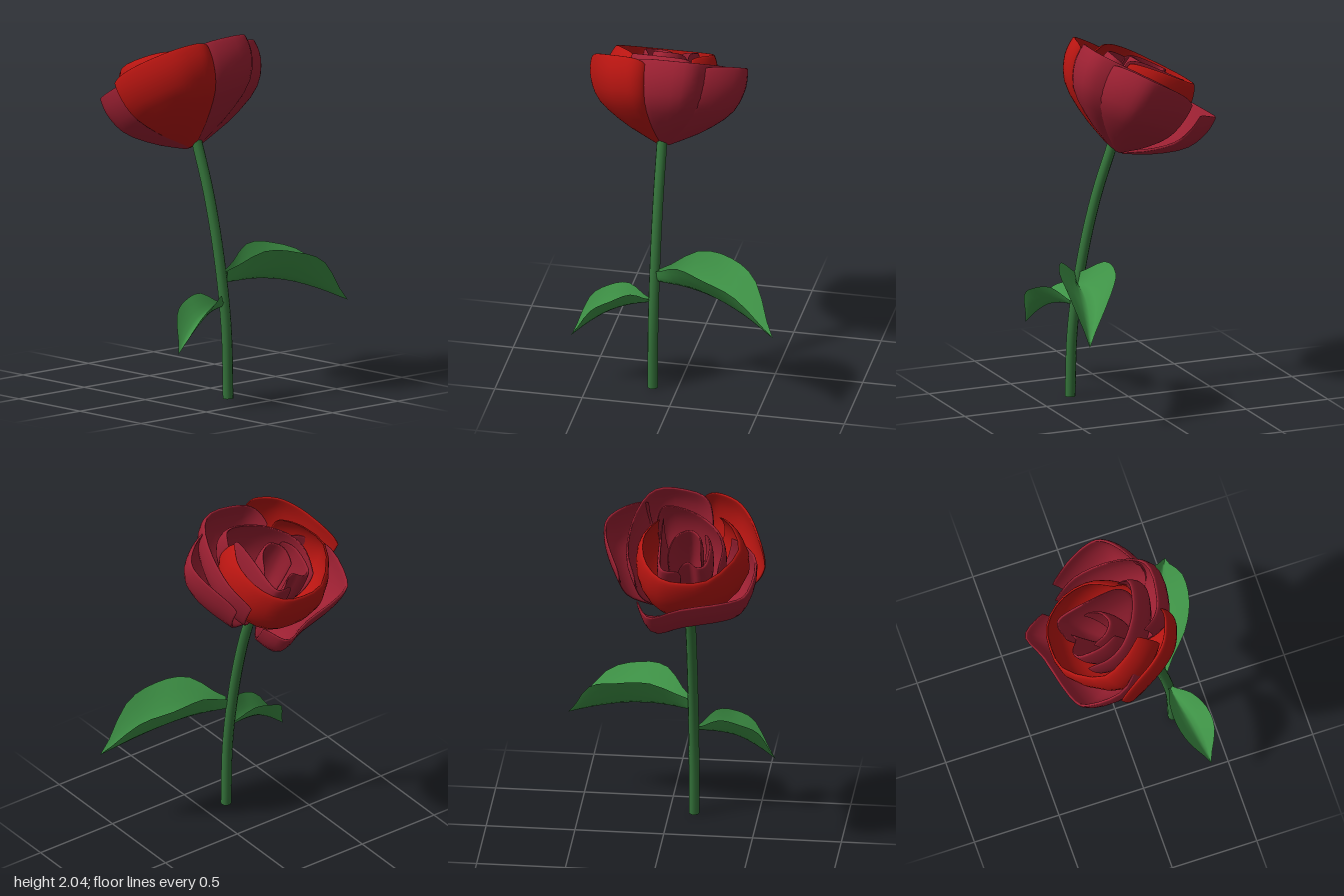
import * as THREE from 'three';

const RED = 0xb81511, CRIMSON = 0x9c2032, STEM = 0x34733a, LEAF = 0x3f9447;
const TILT = 0.5, STEM_X = -0.14;
const v3 = (x, y, z) => new THREE.Vector3(x, y, z);
const spline = pts => new THREE.SplineCurve(pts.map(p => new THREE.Vector2(...p)));

function addMesh(parent, name, geometry, color, side = THREE.FrontSide) {
  const mesh = new THREE.Mesh(geometry, new THREE.MeshStandardMaterial({ color, side, roughness: 0.7 }));
  mesh.name = name;
  parent.add(mesh);
  return mesh;
}

// Smooth surface from a grid of points: point(i, j), i = row, j = column
function gridGeometry(rows, cols, point) {
  const pos = [], index = [];
  for (let i = 0; i <= rows; i++) {
    for (let j = 0; j <= cols; j++) {
      pos.push(...point(i, j).toArray());
      if (i === rows || j === cols) continue;
      const a = i * (cols + 1) + j, d = a + cols + 1;
      index.push(a, a + 1, d + 1, a, d + 1, d);
    }
  }
  const g = new THREE.BufferGeometry();
  g.setAttribute('position', new THREE.Float32BufferAttribute(pos, 3));
  g.setIndex(index);
  g.computeVertexNormals();
  return g;
}

// Cup profile (radius, height) shared by all petals
const cup = spline([[0.03, 0], [0.2, 0.085], [0.35, 0.2], [0.415, 0.33], [0.43, 0.45]]);

// Thick petal hung from its rim, which is given in plan (x, z), anticlockwise from above:
// up the outside, over the rounded rim, down the inside
function petalGeometry(h, bulge, rimPoints) {
  const N = 14, cols = 28, thick = 0.013, rim = spline(rimPoints);
  return gridGeometry(2 * N, cols, (i, j) => {
    const a = Math.PI * i / (2 * N), v = Math.min(1, Math.sin(a)), c = Math.cos(a);
    const b = Math.PI * (j / cols - 0.5), u = Math.sin(b);
    const tMax = 1 - 0.1 * u ** 4, t = v * tMax;
    const p = cup.getPoint(t), tan = cup.getTangent(t), top = cup.getPoint(tMax);
    // rim point in the tilted frame of the flower
    const q = rim.getPoint((u + 1) / 2), rimY = top.y * h / 0.45;
    const x = q.x - STEM_X, z = (q.y + rimY * Math.sin(TILT)) / Math.cos(TILT);
    const rimR = Math.hypot(x, z);
    const offset = thick * Math.sign(c) * Math.abs(c) ** 0.4 * Math.max(0, Math.cos(b)) ** 0.4;
    const r = p.x * rimR / top.x * (1 + bulge * 4 * v * (1 - v)) + tan.y * offset;
    return v3(r * x / rimR, p.y * h / 0.45 - tan.x * offset, r * z / rimR);
  });
}

// Folded leaf: midrib curve with both halves rising from it
function leafGeometry(rib, widths, lifts) {
  const curve = new THREE.CatmullRomCurve3(rib);
  const line = arr => spline(arr.map((y, i) => [i / (arr.length - 1), y]));
  const w = line(widths), l = line(lifts);
  const dir = rib[rib.length - 1].clone().sub(rib[0]).setY(0).normalize();
  const across = v3(dir.z, 0, -dir.x);
  return gridGeometry(12, 8, (i, j) => {
    const t = i / 12, s = j / 4 - 1;
    const p = curve.getPoint(t).addScaledVector(across, s * w.getPoint(t).y);
    p.y += l.getPoint(t).y * Math.abs(s) ** 1.3;
    return p;
  });
}

export function createModel() {
  const model = new THREE.Group();
  model.name = 'rose';

  // Curved stem, closed at the bottom
  const stemCurve = new THREE.CatmullRomCurve3([[0, 0.295], [0.4, 0.28], [0.8, 0.22], [1.15, 0.135], [1.44, 0.035]]
    .map(([y, z]) => v3(STEM_X, y, z)));
  addMesh(model, 'stem', new THREE.TubeGeometry(stemCurve, 24, 0.03, 10), STEM);
  const end = addMesh(model, 'stemEnd', new THREE.CircleGeometry(0.03, 10), STEM);
  end.position.set(STEM_X, 0.001, 0.295);
  end.rotation.x = Math.PI / 2;

  // Leaves
  addMesh(model, 'leftLeaf', leafGeometry(
    [v3(-0.12, 0.655, 0.26), v3(0.06, 0.66, 0.305), v3(0.24, 0.635, 0.355), v3(0.42, 0.575, 0.42), v3(0.59, 0.495, 0.495)],
    [0.015, 0.122, 0.158, 0.115, 0], [0.07, 0.175, 0.185, 0.165, 0]), LEAF, THREE.DoubleSide);
  addMesh(model, 'rightLeaf', leafGeometry(
    [v3(-0.16, 0.525, 0.27), v3(-0.27, 0.51, 0.295), v3(-0.38, 0.475, 0.325), v3(-0.49, 0.405, 0.35), v3(-0.59, 0.32, 0.37)],
    [0.01, 0.07, 0.1, 0.083, 0], [0.02, 0.1, 0.11, 0.11, 0]), LEAF, THREE.DoubleSide);

  // Flower head, tilted backwards: name, color, height, bulge, rim
  const flower = new THREE.Group();
  flower.name = 'flower';
  flower.position.set(STEM_X, 1.4, 0);
  flower.rotation.x = -TILT;
  model.add(flower);
  const petals = [
    ['outerBackPetal', CRIMSON, 0.41, 0,
      [[0.11, -0.39], [0.03, -0.52], [-0.14, -0.47], [-0.41, -0.41], [-0.51, -0.34], [-0.53, -0.13], [-0.38, 0.02]]],
    ['outerRightPetal', RED, 0.46, 0.03,
      [[-0.585, -0.16], [-0.54, -0.06], [-0.48, 0.06], [-0.4, 0.15], [-0.28, 0.2], [-0.2, 0.2]]],
    ['outerLeftPetal', CRIMSON, 0.46, 0.03,
      [[0.1, 0.16], [0.23, 0.09], [0.315, 0.01], [0.32, -0.08], [0.28, -0.19], [0.22, -0.295]]],
    ['outerFrontPetal', CRIMSON, 0.46, 0.03,
      [[-0.27, 0.08], [-0.24, 0.15], [-0.16, 0.195], [0.01, 0.215], [0.11, 0.16], [0.175, 0], [0.185, -0.18], [0.13, -0.31]]],
    ['middleBackPetal', RED, 0.52, 0.25,
      [[0.02, 0], [0.095, -0.14], [0.08, -0.29], [-0.01, -0.4], [-0.14, -0.43], [-0.3, -0.4], [-0.44, -0.23], [-0.4, -0.08], [-0.31, 0.03]]],
    ['middleFrontPetal', CRIMSON, 0.48, 0.1,
      [[-0.33, -0.27], [-0.35, -0.16], [-0.31, -0.06], [-0.2, 0.03], [-0.08, 0.075], [0.01, 0.08], [0.04, 0.03]]],
    ['innerLeftPetal', CRIMSON, 0.515, 0.1,
      [[0, 0.01], [0, -0.14], [-0.01, -0.32], [-0.06, -0.355], [-0.13, -0.33]]],
    ['innerRightPetal', CRIMSON, 0.515, 0.1,
      [[-0.115, -0.3], [-0.17, -0.29], [-0.22, -0.325], [-0.27, -0.3], [-0.28, -0.175], [-0.24, -0.08]]],
    ['innerFrontPetal', CRIMSON, 0.505, 0.1,
      [[-0.23, -0.2], [-0.22, -0.135], [-0.16, -0.09], [-0.085, -0.125], [-0.045, -0.2]]],
  ];
  for (const [name, color, h, bulge, rim] of petals)
    addMesh(flower, name, petalGeometry(h, bulge, rim), color);

  return model;
}
